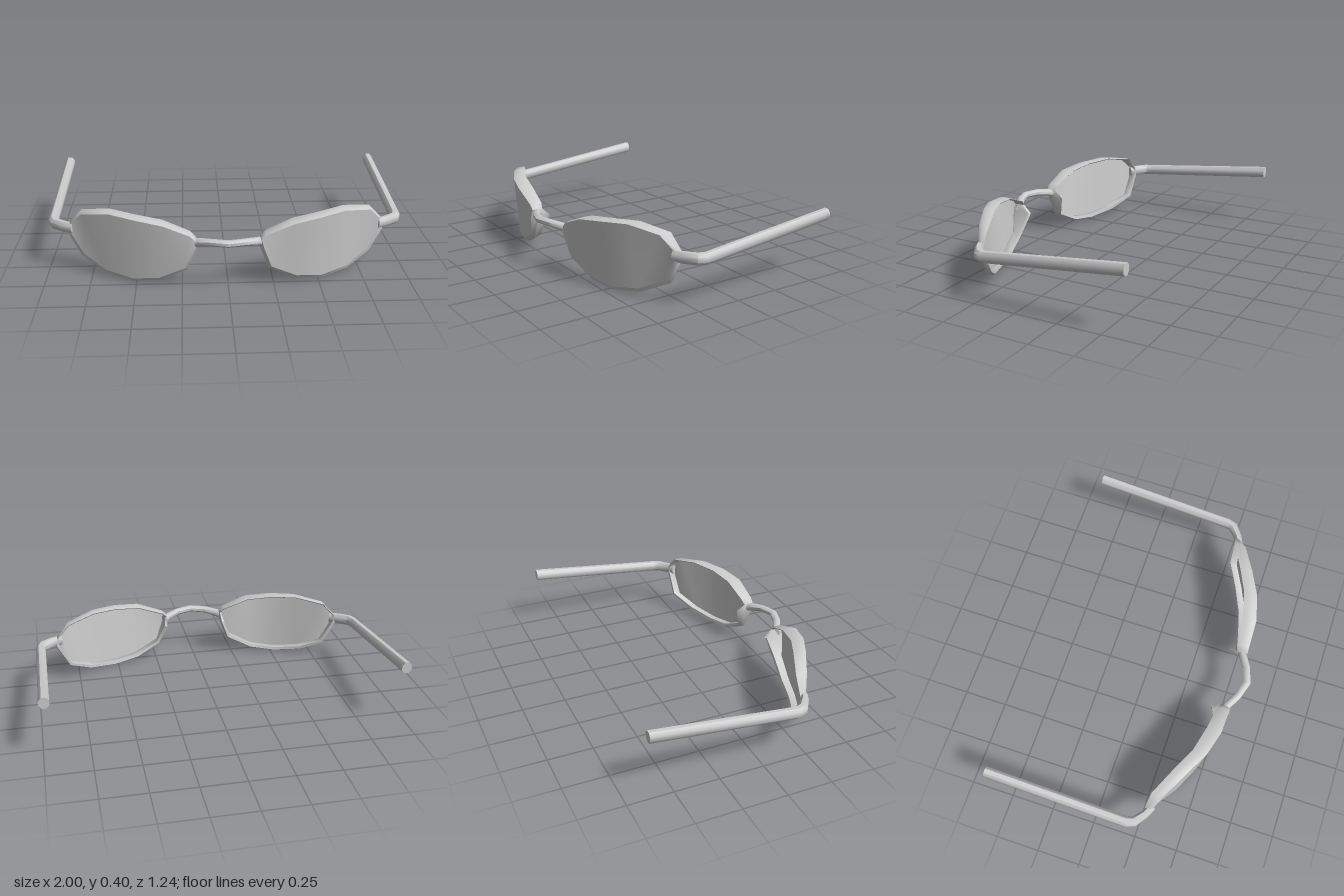
import * as THREE from 'three';
import { toCreasedNormals } from 'three/addons/utils/BufferGeometryUtils.js';

const material = new THREE.MeshStandardMaterial({ color: 0xcccccc });
const thinMaterial = new THREE.MeshStandardMaterial({ color: 0xcccccc, side: THREE.DoubleSide });

// Lens outline as [x, y, front z, rim depth]: upper edge and lower edge, nose to hinge
const UPPER = [
  [0.17, 0.28, 0.55, 0.06], [0.20, 0.31, 0.55, 0.07], [0.35, 0.37, 0.545, 0.085],
  [0.50, 0.39, 0.505, 0.08], [0.64, 0.40, 0.435, 0.077], [0.80, 0.37, 0.35, 0.068],
  [0.87, 0.295, 0.31, 0.04],
];
const LOWER = [
  [0.17, 0.23, 0.555, 0.115], [0.22, 0.10, 0.535, 0.055], [0.37, 0.025, 0.505, 0.05],
  [0.52, 0.005, 0.465, 0.045], [0.68, 0.03, 0.395, 0.045], [0.81, 0.10, 0.32, 0.045],
  [0.885, 0.24, 0.31, 0.04],
];

// Skins a list of rings; side -1 mirrors the result in x
function loft(rings, { side = 1, closeRing = true, closePath = false, caps = false, crease = 0.8 } = {}) {
  const n = rings[0].length, m = rings.length;
  const index = [];
  const tri = (a, b, c) => (side > 0 ? index.push(a, b, c) : index.push(a, c, b));
  for (let i = 0; i < (closePath ? m : m - 1); i++) {
    for (let j = 0; j < (closeRing ? n : n - 1); j++) {
      const a = i * n, b = ((i + 1) % m) * n, k = (j + 1) % n;
      tri(a + j, b + j, b + k);
      tri(a + j, b + k, a + k);
    }
  }
  if (caps) {
    const e = (m - 1) * n;
    for (let j = 1; j < n - 1; j++) {
      tri(0, j, j + 1);
      tri(e, e + j + 1, e + j);
    }
  }
  const geometry = new THREE.BufferGeometry();
  const positions = rings.flat().flatMap(([x, y, z]) => [x * side, y, z]);
  geometry.setAttribute('position', new THREE.Float32BufferAttribute(positions, 3));
  geometry.setIndex(index);
  return toCreasedNormals(geometry, crease);
}

// Mitred bar along [x, y, z, half width, half height], its section kept upright
function bar(path, side = 1) {
  const rings = path.map(([x, y, z, w, h], i) => {
    const dir = (a, b) => new THREE.Vector2(b[0] - a[0], b[2] - a[2]).normalize();
    const before = i > 0 ? dir(path[i - 1], path[i]) : dir(path[0], path[1]);
    const after = i < path.length - 1 ? dir(path[i], path[i + 1]) : before;
    const t = before.clone().add(after).normalize();
    const width = w / t.dot(before);
    return Array.from({ length: 8 }, (_, j) => {
      const a = ((j + 0.5) / 8) * Math.PI * 2;
      const c = Math.cos(a) * 1.08 * width, s = Math.sin(a) * 1.08 * h;
      return [x - t.y * c, y + s, z + t.x * c];
    });
  });
  return loft(rings, { side, caps: true });
}

// Rim sections around the lens; the first point of each carries the lens edge
function rimSections() {
  const outline = [...UPPER, ...[...LOWER].reverse()];
  const count = outline.length;
  return outline.map(([x, y, z, d], i) => {
    const p = outline[(i + count - 1) % count], q = outline[(i + 1) % count];
    const out = new THREE.Vector2(-(q[1] - p[1]), q[0] - p[0]).normalize();
    const t = i < UPPER.length ? 0.008 : 0.02;
    return [[-t, 0], [0, 0.3], [0, 0.7], [-0.4 * t, 1], [-1.2 * t, 0.92], [-1.2 * t, 0.1]]
      .map(([o, back]) => [x + out.x * o, y + out.y * o, z - d * back]);
  });
}

export function createModel() {
  const model = new THREE.Group();
  const add = (name, geometry, mat = material) => {
    const mesh = new THREE.Mesh(geometry, mat);
    mesh.name = name;
    model.add(mesh);
  };

  const sections = rimSections();
  const count = sections.length;
  for (const side of [1, -1]) {
    const label = side > 0 ? 'left' : 'right';

    // Rim, deep like a visor above and slim below
    add(label + 'Rim', loft(sections, { side, closePath: true, crease: 0.9 }));

    // Lens, a curved sheet between the upper and lower rim edges
    const columns = UPPER.map((_, i) => [sections[count - 1 - i][0], sections[i][0]]);
    add(label + 'Lens', loft(columns, { side, closeRing: false }), thinMaterial);

    // Hinge piece and temple arm
    add(label + 'Temple', bar([
      [0.85, 0.265, 0.305, 0.02, 0.028],
      [0.90, 0.265, 0.28, 0.022, 0.03],
      [0.958, 0.265, 0.235, 0.026, 0.03],
      [0.972, 0.265, 0.195, 0.028, 0.03],
      [0.972, 0.353, -0.62, 0.028, 0.032],
    ], side));
  }

  // Nose bridge
  add('bridge', bar([
    [-0.185, 0.255, 0.515, 0.022, 0.024], [-0.16, 0.262, 0.53, 0.022, 0.022],
    [-0.09, 0.275, 0.571, 0.02, 0.019], [0, 0.278, 0.598, 0.021, 0.018],
    [0.09, 0.275, 0.571, 0.02, 0.019], [0.16, 0.262, 0.53, 0.022, 0.022],
    [0.185, 0.255, 0.515, 0.022, 0.024],
  ]));

  return model;
}
